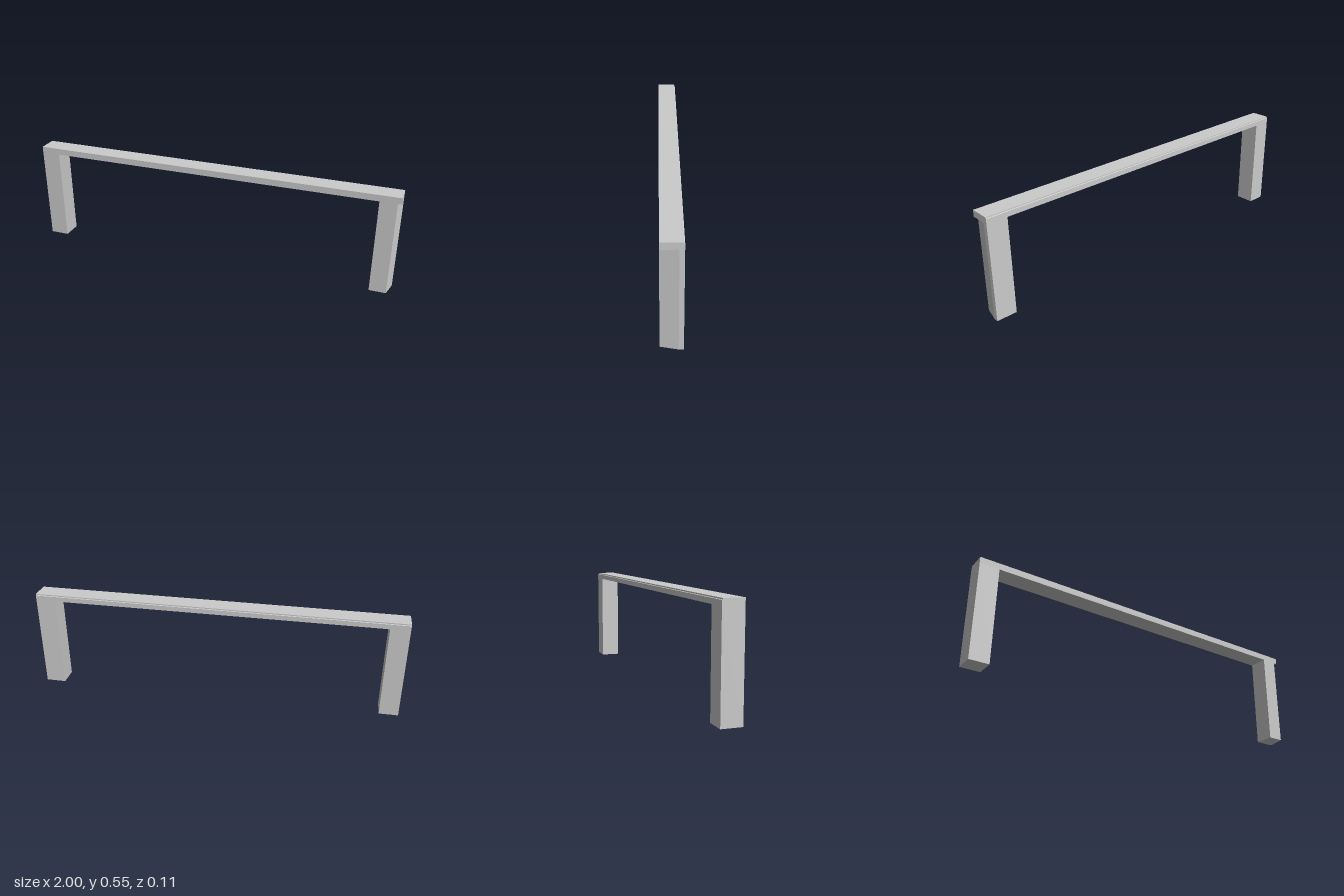
import * as THREE from 'three';

const BAR_BOTTOM = 0.511;
const TOP = 0.545;
const HALF_DEPTH = 0.053;

const material = new THREE.MeshStandardMaterial({ color: 0xcccccc, flatShading: true });

function extrude(points, depth) {
  const shape = new THREE.Shape(points.map(([x, y]) => new THREE.Vector2(x, y)));
  return new THREE.ExtrudeGeometry(shape, { depth, bevelEnabled: false });
}

// Leg from a floor plan given as [x, z] corners
function makeLeg(name, plan) {
  const geometry = extrude(plan.map(([x, z]) => [x, -z]), BAR_BOTTOM);
  geometry.rotateX(-Math.PI / 2);
  const leg = new THREE.Mesh(geometry, material);
  leg.name = name;
  return leg;
}

export function createModel() {
  const group = new THREE.Group();
  group.name = 'frame';
  const d = HALF_DEPTH;

  // Top bar: [z, y] section with a tiny rebate on the rear upper edge
  const section = [
    [d, BAR_BOTTOM], [-d, BAR_BOTTOM], [-d, 0.537],
    [-0.049, 0.539], [-0.049, TOP], [d, TOP],
  ];
  const barGeometry = extrude(section.map(([z, y]) => [-z, y]), 2);
  barGeometry.rotateY(Math.PI / 2);
  barGeometry.translate(-1, 0, 0);
  const bar = new THREE.Mesh(barGeometry, material);
  bar.name = 'topBar';
  group.add(bar);

  // Plain square leg
  group.add(makeLeg('rightLeg', [[-1, d], [-0.897, d], [-0.897, -d], [-1, -d]]));

  // Leg whose outer face tapers inward to the front, under the bar's end
  group.add(makeLeg('leftLeg', [[0.892, d], [0.98, d], [1, -0.03], [1, -d], [0.892, -d]]));

  return group;
}
